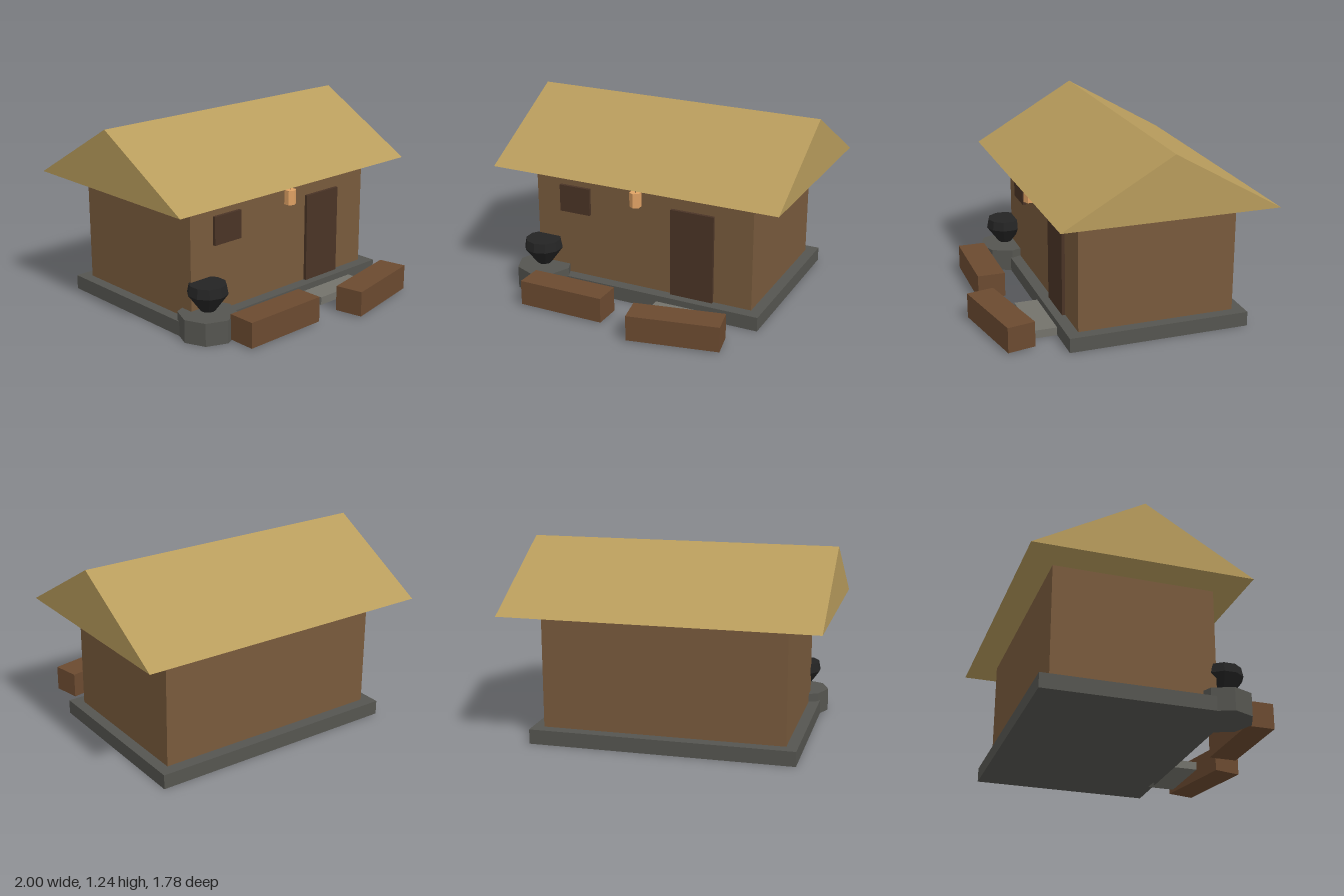
import * as THREE from 'three';

export function createModel() {
  const model = new THREE.Group();
  const CZ = -0.19; // centre line of the house

  const mat = (color, extra = {}) =>
    new THREE.MeshStandardMaterial({ color, flatShading: true, ...extra });
  const stone = mat(0x555550);
  const paleStone = mat(0x73726b);
  const wall = mat(0x785a3c);
  const thatch = mat(0xb89c5c);
  const darkWood = mat(0x4a3426);
  const wood = mat(0x6b4a30);
  const iron = mat(0x242424, { side: THREE.DoubleSide });
  const glow = mat(0xe0a264);

  const add = (name, geometry, material, x, y, z) => {
    const mesh = new THREE.Mesh(geometry, material);
    mesh.name = name;
    mesh.position.set(x, y, z);
    model.add(mesh);
    return mesh;
  };
  // Box standing on height y0
  const box = (name, material, w, h, d, x, y0, z) =>
    add(name, new THREE.BoxGeometry(w, h, d), material, x, y0 + h / 2, z);

  // House body
  box('foundation', stone, 1.7, 0.095, 1.19, 0, 0, CZ + 0.005);
  box('walls', wall, 1.555, 0.745, 1.036, 0, 0.095, CZ + 0.005);

  // Gabled roof: triangle extruded along x
  const gable = new THREE.Shape([
    new THREE.Vector2(-0.7, 0),
    new THREE.Vector2(0.7, 0),
    new THREE.Vector2(0, 0.403),
  ]);
  const roof = new THREE.ExtrudeGeometry(gable, { depth: 2, bevelEnabled: false });
  roof.translate(0, 0, -1).rotateY(Math.PI / 2);
  add('roof', roof, thatch, 0, 0.84, CZ);

  // Door, window and doorstep
  box('door', darkWood, 0.297, 0.595, 0.04, 0.367, 0.095, 0.334);
  box('window', darkWood, 0.222, 0.186, 0.04, -0.484, 0.539, 0.334);
  box('doorstep', paleStone, 0.445, 0.053, 0.186, 0.367, 0, 0.474);

  // Hearth with cooking pot
  add('hearth', new THREE.CylinderGeometry(0.186, 0.186, 0.15, 8), stone, -0.705, 0.075, 0.4);
  const profile = [[0, 0.152], [0.047, 0.165], [0.13, 0.278], [0.118, 0.34], [0, 0.34]]
    .map(([r, y]) => new THREE.Vector2(r, y));
  add('pot', new THREE.LatheGeometry(profile, 10), iron, -0.705, 0, 0.405);

  // Hanging lantern
  add('lantern', new THREE.CylinderGeometry(0.039, 0.039, 0.096, 6), glow, 0, 0.743, 0.41);
  add('lanternCord', new THREE.CylinderGeometry(0.003, 0.003, 0.06, 6), darkWood, 0, 0.815, 0.41);

  // Benches
  box('leftBench', wood, 0.59, 0.167, 0.185, -0.373, 0.01, 0.663);
  box('rightBench', wood, 0.59, 0.167, 0.185, 0.4425, 0.01, 0.7375).rotation.y = 0.2;

  return model;
}
